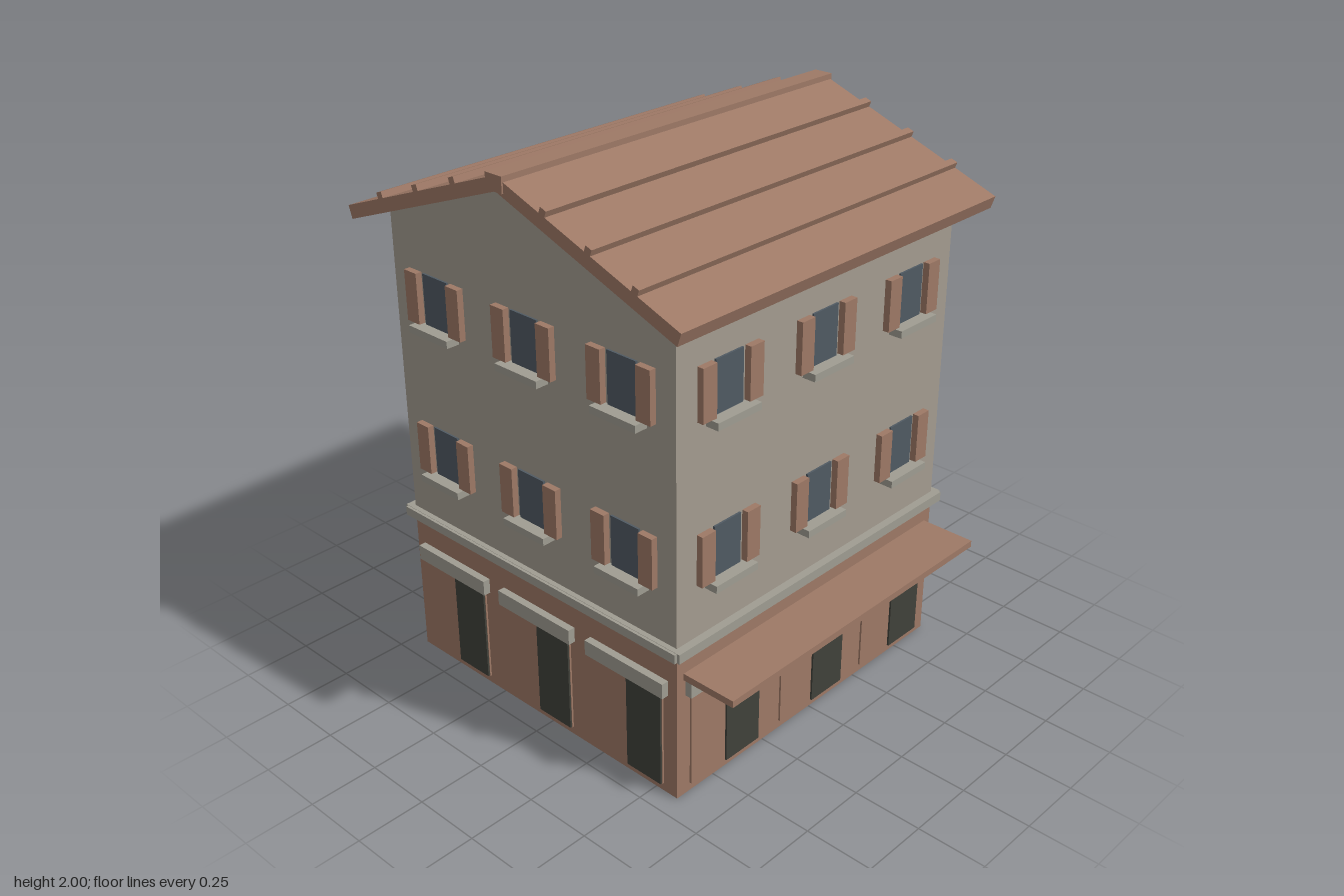
import * as THREE from 'three';

const mat = (name, color) => {
  const m = new THREE.MeshStandardMaterial({ color });
  m.name = name;
  return m;
};

export function createModel() {
  const terracotta = mat('terracotta', 0x9e7966);
  const plaster = mat('plaster', 0xa49c90);
  const stone = mat('stone', 0xa09d92);
  const glass = mat('window glass', 0x505a63);
  const doorway = mat('dark doorway', 0x40413a);

  const house = new THREE.Group();
  house.name = 'townhouse';
  const body = new THREE.Group();
  body.name = 'building';
  body.position.z = -0.05; // the awning pushes the building back
  house.add(body);

  // Box given by its limits on each axis
  const box = (parent, name, material, x0, x1, y0, y1, z0, z1) => {
    const m = new THREE.Mesh(new THREE.BoxGeometry(x1 - x0, y1 - y0, z1 - z0), material);
    m.position.set((x0 + x1) / 2, (y0 + y1) / 2, (z0 + z1) / 2);
    m.name = name;
    parent.add(m);
    return m;
  };
  // Profile in (z, y), extruded along x and centred
  const prism = (parent, name, material, points, length) => {
    const shape = new THREE.Shape(points.map(([z, y]) => new THREE.Vector2(-z, y)));
    const g = new THREE.ExtrudeGeometry(shape, { depth: length, bevelEnabled: false });
    g.translate(0, 0, -length / 2).rotateY(Math.PI / 2);
    const m = new THREE.Mesh(g, material);
    m.name = name;
    parent.add(m);
  };

  const HX = 0.671, HZ = 0.643;

  // Main masses
  box(body, 'groundFloor', terracotta, -HX, HX, 0, 0.555, -HZ, HZ);
  box(body, 'upperWalls', plaster, -HX, HX, 0.555, 1.705, -HZ, HZ);
  prism(body, 'gable', plaster, [[-HZ, 1.705], [HZ, 1.705], [0, 1.945]], 2 * HX + 0.006);

  // String course between the floors
  box(body, 'bandFrontBack', stone, -0.69, 0.69, 0.555, 0.59, -HZ - 0.029, HZ + 0.029);
  box(body, 'bandSides', stone, -HX - 0.029, HX + 0.029, 0.556, 0.589, -HZ - 0.018, HZ + 0.018);

  // One window with shutters and sill; local z = 0 is the wall face
  const addWindow = (wall, x, y) => {
    const g = new THREE.Group();
    g.name = 'window';
    g.position.set(x, y, 0);
    box(g, 'pane', glass, -0.061, 0.061, 0, 0.181, -0.002, 0.007);
    box(g, 'sill', stone, -0.097, 0.097, -0.026, 0, -0.002, 0.05);
    for (const s of [-1, 1]) {
      box(g, 'shutter', terracotta, s * 0.104 - 0.03, s * 0.104 + 0.03, 0, 0.181, -0.002, 0.024);
    }
    wall.add(g);
  };

  // One shop bay: panel, open right half and lintel
  const addShopBay = (wall, x, halfWidth) => {
    const g = new THREE.Group();
    g.name = 'shopBay';
    g.position.x = x;
    box(g, 'doorPanel', terracotta, -halfWidth, halfWidth, 0.03, 0.395, -0.002, 0.007);
    box(g, 'doorOpening', doorway, 0, halfWidth - 0.002, 0.032, 0.395, 0.005, 0.014);
    box(g, 'lintel', stone, -halfWidth - 0.021, halfWidth + 0.021, 0.393, 0.449, -0.002, 0.027);
    wall.add(g);
  };

  // Four sides, each with three bays
  ['frontSide', 'leftSide', 'backSide', 'rightSide'].forEach((name, i) => {
    const pivot = new THREE.Group();
    pivot.name = name;
    pivot.rotation.y = (i * Math.PI) / 2;
    const wall = new THREE.Group();
    wall.name = 'wallDetails';
    wall.position.z = i % 2 ? HX : HZ;
    const width = i % 2 ? 2 * HZ : 2 * HX;
    for (const k of [-1, 0, 1]) {
      const x = (k * width) / 3;
      addShopBay(wall, x, i % 2 ? 0.155 : 0.164);
      addWindow(wall, x, 0.78);
      addWindow(wall, x, 1.345);
    }
    pivot.add(wall);
    body.add(pivot);
  });

  // Awning over the shop front
  box(body, 'awning', terracotta, -0.64, 0.64, 0.455, 0.48, HZ - 0.002, 0.85);

  // Pitched roof
  const slope = Math.atan2(0.27, 0.732);
  prism(body, 'roof', terracotta, [
    [0, 1.945], [0.732, 1.675], [0.747, 1.719], [0, 1.994], [-0.747, 1.719], [-0.732, 1.675],
  ].reverse(), 1.518);
  box(body, 'ridgeCap', terracotta, -0.765, 0.765, 1.946, 2, -0.036, 0.036);

  // Battens along each slope
  for (const s of [-1, 1]) {
    for (const d of [0.2, 0.385, 0.57]) {
      const b = box(body, 'roofBatten', terracotta, -0.759, 0.759, -0.017, 0.017, -0.013, 0.013);
      b.position.set(0, 1.994 - d * Math.tan(slope) + 0.005, s * d);
      b.rotation.x = s * slope;
    }
  }
  return house;
}
